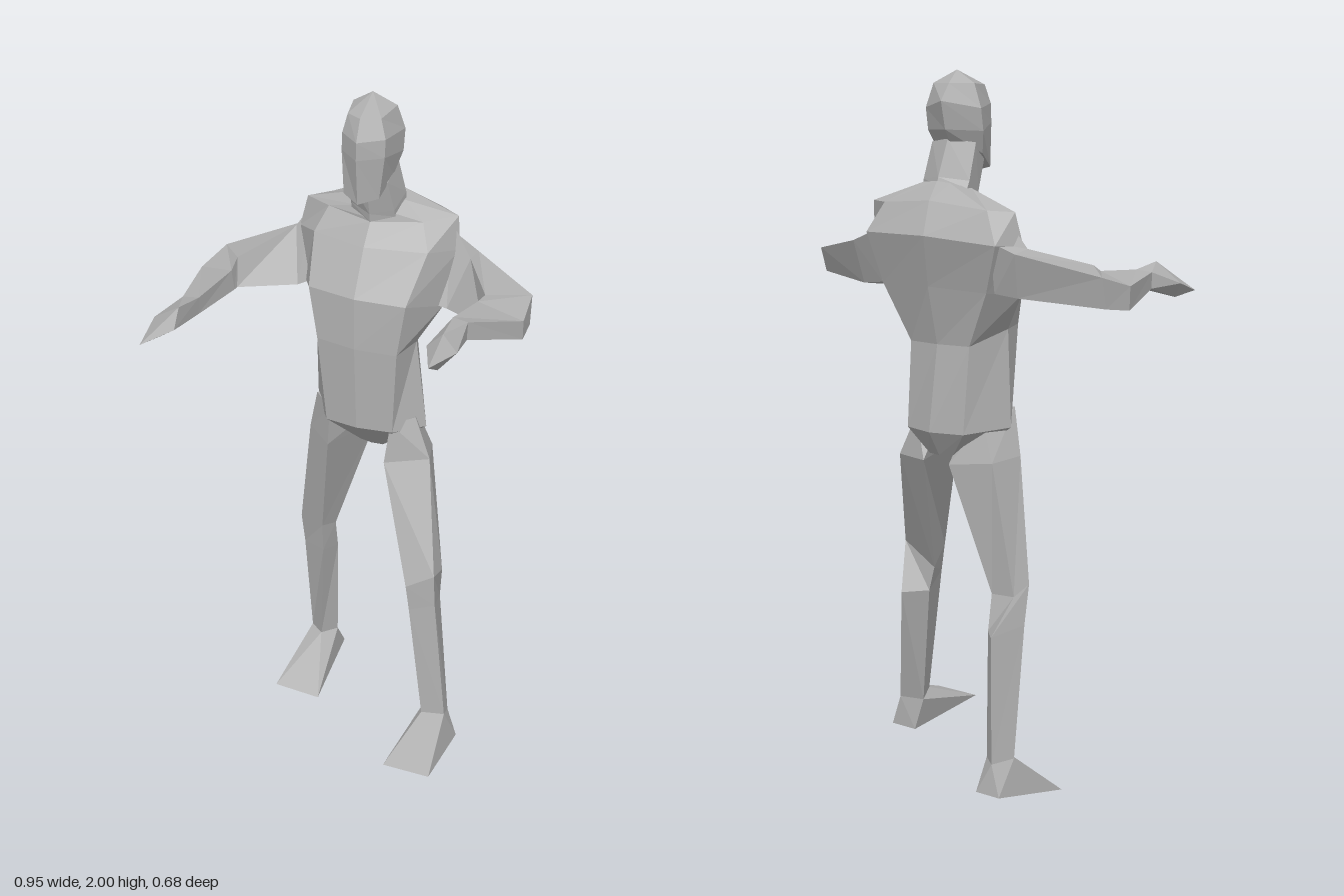
import * as THREE from 'three';

const skin = new THREE.MeshStandardMaterial({ color: 0xb0b0b0 });
skin.name = 'plain grey';
skin.flatShading = true;

// Closed faceted skin through a list of rings; each ring is a list of [x, y, z] corners.
function loft(name, rings) {
  const n = rings[0].length;
  const tris = [];
  const middle = (ring) => [0, 1, 2].map((k) => ring.reduce((s, p) => s + p[k], 0) / n);
  for (let r = 0; r < rings.length - 1; r++) {
    for (let i = 0; i < n; i++) {
      const j = (i + 1) % n;
      const a = rings[r][i], b = rings[r][j], c = rings[r + 1][j], d = rings[r + 1][i];
      tris.push([a, b, c], [a, c, d]);
    }
  }
  const first = rings[0], last = rings[rings.length - 1];
  const m0 = middle(first), m1 = middle(last);
  for (let i = 0; i < n; i++) {
    const j = (i + 1) % n;
    tris.push([m0, first[j], first[i]], [m1, last[i], last[j]]);
  }
  // Turn all faces outward, judged by the enclosed volume
  const v = (p) => new THREE.Vector3(...p);
  const volume = tris.reduce((s, [a, b, c]) => s + v(a).sub(v(m0)).dot(v(b).sub(v(m0)).cross(v(c).sub(v(m0)))), 0);
  if (volume < 0) tris.forEach((t) => t.reverse());
  const geometry = new THREE.BufferGeometry();
  geometry.setAttribute('position', new THREE.Float32BufferAttribute(tris.flat(2), 3));
  geometry.computeVertexNormals();
  const mesh = new THREE.Mesh(geometry, skin);
  mesh.name = name;
  return mesh;
}

// A ring collapsed to one point
const tip = (n, ...p) => Array.from({ length: n }, () => p);

export function createModel() {
  const model = new THREE.Group();
  model.name = 'figure';

  // Torso: front right, breastbone, front left, left side, back left, back centre, back right, right side
  const hips = [
    [[-0.02, 0.95, -0.13], [0.015, 0.95, -0.125], [0.05, 0.95, -0.13], [0.07, 0.95, -0.18], [0.05, 0.96, -0.23], [0.01, 0.96, -0.24], [-0.03, 0.96, -0.23], [-0.05, 0.95, -0.18]],
    [[-0.085, 1.05, -0.04], [0.015, 1.055, -0.027], [0.12, 1.06, -0.04], [0.185, 1.05, -0.13], [0.11, 1.03, -0.25], [0.01, 1.03, -0.285], [-0.09, 1.03, -0.265], [-0.16, 1.04, -0.14]],
    [[-0.11, 1.31, -0.035], [0.01, 1.31, -0.022], [0.13, 1.31, -0.04], [0.145, 1.31, -0.14], [0.1, 1.27, -0.245], [0, 1.27, -0.26], [-0.1, 1.27, -0.25], [-0.15, 1.31, -0.14]],
  ];
  const chest = [
    [[-0.14, 1.46, -0.045], [0.005, 1.46, -0.03], [0.15, 1.46, -0.05], [0.2, 1.41, -0.19], [0.16, 1.43, -0.29], [0, 1.43, -0.3], [-0.17, 1.42, -0.27], [-0.215, 1.41, -0.17]],
    [[-0.165, 1.585, -0.13], [0, 1.585, -0.1], [0.17, 1.585, -0.145], [0.22, 1.56, -0.25], [0.18, 1.57, -0.335], [-0.02, 1.57, -0.345], [-0.22, 1.55, -0.3], [-0.255, 1.545, -0.22]],
    [[-0.15, 1.64, -0.19], [0, 1.645, -0.14], [0.13, 1.645, -0.2], [0.205, 1.65, -0.27], [0.14, 1.65, -0.305], [-0.01, 1.66, -0.305], [-0.18, 1.64, -0.28], [-0.235, 1.635, -0.23]],
    [[-0.06, 1.67, -0.17], [0, 1.655, -0.14], [0.05, 1.67, -0.17], [0.068, 1.69, -0.22], [0.04, 1.705, -0.265], [-0.01, 1.71, -0.27], [-0.05, 1.705, -0.265], [-0.08, 1.69, -0.21]],
  ];
  model.add(loft('torso', [...hips, ...chest]));

  // Neck and head: back, left back, left front, front, right front, right back
  model.add(loft('neck', [
    [[-0.01, 1.7, -0.27], [0.065, 1.69, -0.23], [0.06, 1.66, -0.17], [0, 1.645, -0.138], [-0.07, 1.66, -0.17], [-0.08, 1.69, -0.23]],
    [[-0.01, 1.72, -0.265], [0.065, 1.71, -0.23], [0.06, 1.68, -0.165], [0, 1.67, -0.135], [-0.07, 1.68, -0.165], [-0.08, 1.71, -0.22]],
    [[-0.02, 1.82, -0.235], [0.05, 1.81, -0.21], [0.05, 1.77, -0.14], [0, 1.76, -0.115], [-0.065, 1.77, -0.13], [-0.08, 1.81, -0.19]],
  ]));
  model.add(loft('head', [
    [[-0.02, 1.79, -0.215], [0.05, 1.78, -0.18], [0.045, 1.74, -0.1], [0, 1.73, -0.06], [-0.055, 1.74, -0.09], [-0.08, 1.78, -0.16]],
    [[-0.03, 1.845, -0.26], [0.064, 1.84, -0.21], [0.06, 1.86, -0.1], [0, 1.86, -0.05], [-0.066, 1.86, -0.1], [-0.097, 1.84, -0.18]],
    [[-0.03, 1.92, -0.278], [0.064, 1.9, -0.22], [0.06, 1.91, -0.105], [0, 1.91, -0.052], [-0.064, 1.91, -0.1], [-0.097, 1.9, -0.19]],
    [[-0.028, 1.965, -0.24], [0.045, 1.965, -0.21], [0.04, 1.96, -0.12], [-0.005, 1.965, -0.085], [-0.055, 1.96, -0.115], [-0.075, 1.965, -0.19]],
    tip(6, -0.018, 2, -0.19),
  ]));

  // Arms: outer top, inner top, inner bottom, outer bottom, from shoulder to fingertip
  model.add(loft('leftArm', [
    [[0.17, 1.57, -0.325], [0.19, 1.635, -0.26], [0.16, 1.43, -0.16], [0.17, 1.43, -0.28]],
    [[0.255, 1.54, -0.3], [0.26, 1.55, -0.23], [0.215, 1.41, -0.18], [0.25, 1.42, -0.26]],
    [[0.455, 1.5, -0.2], [0.355, 1.52, -0.11], [0.355, 1.43, -0.1], [0.465, 1.43, -0.165]],
    [[0.475, 1.48, -0.09], [0.355, 1.525, -0.06], [0.355, 1.45, -0.06], [0.475, 1.425, -0.09]],
    [[0.387, 1.54, 0.08], [0.345, 1.545, 0.08], [0.345, 1.49, 0.085], [0.387, 1.49, 0.085]],
    [[0.405, 1.51, 0.19], [0.365, 1.555, 0.19], [0.32, 1.51, 0.19], [0.365, 1.465, 0.22]],
    tip(4, 0.367, 1.505, 0.285),
  ]));
  model.add(loft('rightArm', [
    [[-0.2, 1.56, -0.295], [-0.22, 1.615, -0.24], [-0.19, 1.42, -0.14], [-0.19, 1.42, -0.26]],
    [[-0.265, 1.53, -0.275], [-0.268, 1.54, -0.22], [-0.225, 1.4, -0.14], [-0.25, 1.41, -0.24]],
    [[-0.455, 1.47, -0.15], [-0.37, 1.49, -0.06], [-0.36, 1.41, -0.035], [-0.455, 1.385, -0.13]],
    [[-0.48, 1.44, -0.05], [-0.365, 1.47, -0.015], [-0.36, 1.41, -0.02], [-0.478, 1.375, -0.05]],
    [[-0.425, 1.455, 0.15], [-0.378, 1.46, 0.145], [-0.38, 1.41, 0.15], [-0.425, 1.41, 0.15]],
    [[-0.47, 1.42, 0.23], [-0.385, 1.475, 0.24], [-0.385, 1.42, 0.27], [-0.44, 1.378, 0.25]],
    tip(4, -0.455, 1.39, 0.335),
  ]));

  // Legs: front inner, front outer, back outer, back inner, from hip to sole
  model.add(loft('leftLeg', [
    [[0.11, 1.08, -0.05], [0.165, 1.09, -0.1], [0.11, 1.06, -0.21], [0.06, 1, -0.2]],
    [[0.1, 0.96, -0.03], [0.215, 0.97, -0.09], [0.17, 0.94, -0.21], [0.06, 0.94, -0.245]],
    [[0.215, 0.62, 0.058], [0.29, 0.66, 0.03], [0.285, 0.64, -0.04], [0.165, 0.58, -0.06]],
    [[0.225, 0.54, 0.055], [0.295, 0.56, 0.03], [0.255, 0.5, -0.1], [0.18, 0.51, -0.065]],
    [[0.27, 0.17, 0.05], [0.335, 0.17, 0.03], [0.325, 0.15, -0.02], [0.25, 0.15, -0.005]],
    [[0.235, 0.1, 0.24], [0.378, 0.105, 0.235], [0.355, 0.06, -0.02], [0.275, 0.055, -0.015]],
  ]));
  model.add(loft('rightLeg', [
    [[-0.08, 1.08, -0.05], [-0.145, 1.09, -0.1], [-0.11, 1.06, -0.2], [-0.03, 1, -0.2]],
    [[-0.085, 0.96, -0.045], [-0.178, 0.96, -0.12], [-0.15, 0.95, -0.215], [-0.03, 0.94, -0.25]],
    [[-0.15, 0.6, -0.135], [-0.225, 0.61, -0.145], [-0.205, 0.58, -0.19], [-0.135, 0.58, -0.195]],
    [[-0.155, 0.5, -0.15], [-0.227, 0.5, -0.17], [-0.185, 0.48, -0.27], [-0.14, 0.48, -0.22]],
    [[-0.19, 0.135, -0.2], [-0.235, 0.135, -0.23], [-0.205, 0.13, -0.295], [-0.157, 0.13, -0.25]],
    [[-0.13, 0, -0.055], [-0.277, 0, -0.055], [-0.24, 0.045, -0.31], [-0.16, 0.045, -0.305]],
  ]));

  return model;
}
